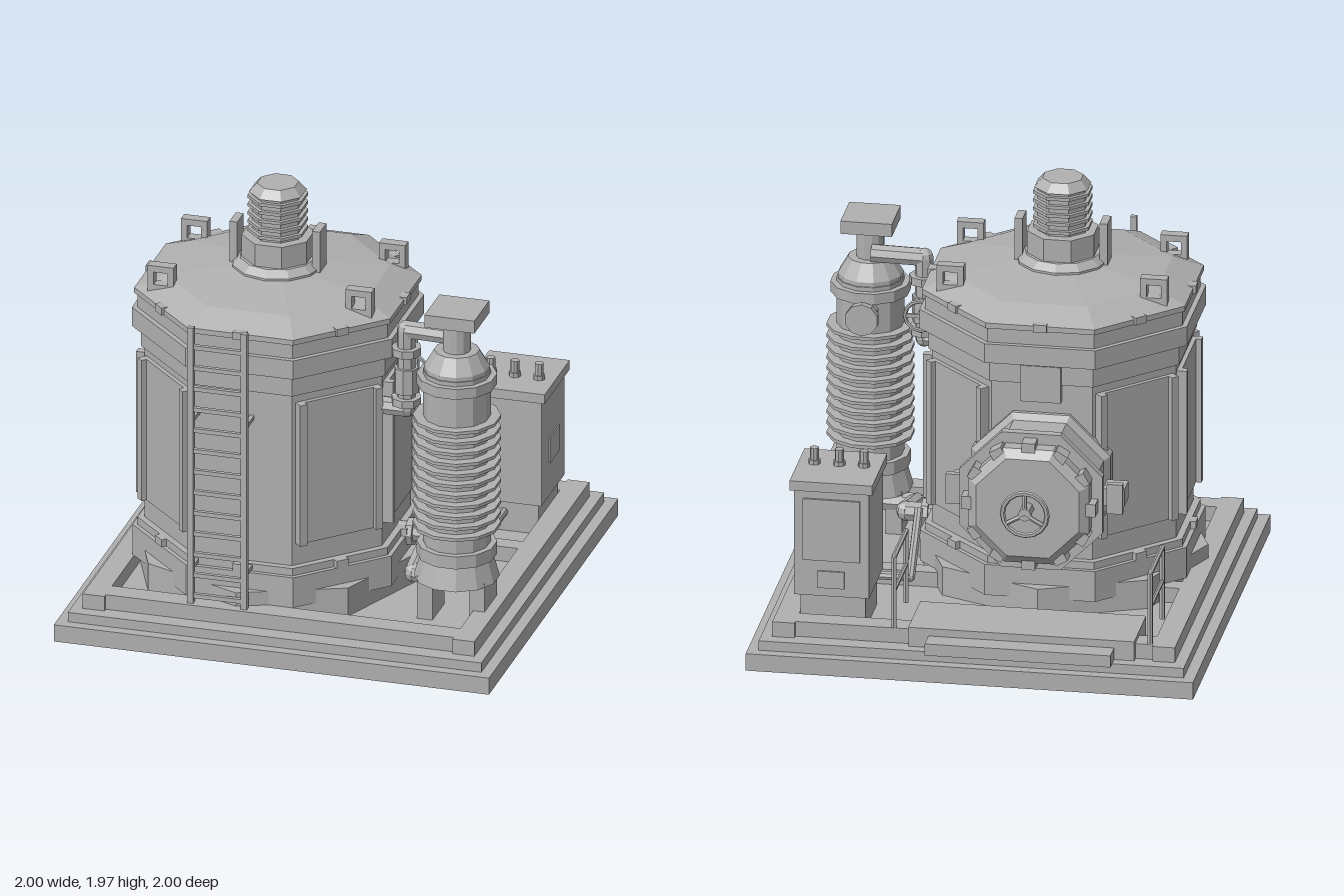
import * as THREE from 'three';

const steel = new THREE.MeshStandardMaterial({ color: 0xb0b0b0 });
steel.name = 'grey steel';

// Faceted mesh helper
function add(parent, name, geo, x = 0, y = 0, z = 0) {
  const g = geo.index ? geo.toNonIndexed() : geo;
  g.computeVertexNormals();
  const m = new THREE.Mesh(g, steel);
  m.name = name;
  m.position.set(x, y, z);
  parent.add(m);
  return m;
}

// Box given by its limits on each axis
function box(parent, name, x0, x1, y0, y1, z0, z1) {
  return add(parent, name, new THREE.BoxGeometry(x1 - x0, y1 - y0, z1 - z0),
    (x0 + x1) / 2, (y0 + y1) / 2, (z0 + z1) / 2);
}

// Turned prism from [radius, height] pairs, bottom to top
function turned(parent, name, profile, sides, start = 0, scale = 1) {
  const pts = profile.map(([r, y]) => new THREE.Vector2(r * scale, y));
  pts.unshift(new THREE.Vector2(0, profile[0][1]));
  pts.push(new THREE.Vector2(0, profile[profile.length - 1][1]));
  return add(parent, name, new THREE.LatheGeometry(pts, sides, start));
}

// Straight pipe runs with round elbows
function pipe(parent, name, points, r, sides = 8) {
  const g = new THREE.Group();
  g.name = name;
  parent.add(g);
  const p = points.map((a) => new THREE.Vector3(...a));
  for (let i = 0; i < p.length - 1; i++) {
    const d = p[i + 1].clone().sub(p[i]);
    const m = add(g, name + 'Run', new THREE.CylinderGeometry(r, r, d.length(), sides));
    m.position.copy(p[i]).addScaledVector(d, 0.5);
    m.quaternion.setFromUnitVectors(new THREE.Vector3(0, 1, 0), d.normalize());
    if (i > 0) add(g, name + 'Elbow', new THREE.SphereGeometry(r, sides, 6), p[i].x, p[i].y, p[i].z);
  }
  return g;
}

function subgroup(parent, name, x = 0, y = 0, z = 0) {
  const g = new THREE.Group();
  g.name = name;
  g.position.set(x, y, z);
  parent.add(g);
  return g;
}

function buildBase(root) {
  const b = subgroup(root, 'base');
  box(b, 'lowerSlab', -1, 1, 0, 0.08, -1, 1);
  box(b, 'upperSlab', -0.95, 0.95, 0.08, 0.125, -0.95, 0.95);
  for (const s of [-1, 1]) {
    box(b, 'sideCurb', s * 0.85 - 0.05, s * 0.85 + 0.05, 0.125, 0.195, -0.89, 0.89);
    box(b, 'endCurb', -0.8, 0.8, 0.125, 0.195, s * 0.82 - 0.05, s * 0.82 + 0.05);
  }
  box(b, 'crossBeam', -0.8, 0.8, 0.125, 0.195, -0.2, -0.12);
  // Rear platform, step and handrails
  box(b, 'platform', -0.72, 0.29, 0.125, 0.215, -0.9, -0.59);
  box(b, 'step', -0.63, 0.2, 0.125, 0.18, -0.995, -0.89);
  for (const x of [-0.785, 0.36]) {
    pipe(b, 'handrail', [[x, 0.19, -0.86], [x, 0.53, -0.86], [x, 0.53, -0.55], [x, 0.19, -0.55]], 0.012, 6);
    pipe(b, 'midRail', [[x, 0.37, -0.86], [x, 0.37, -0.55]], 0.01, 6);
  }
}

function buildTank(root) {
  const t = subgroup(root, 'tank', -0.215, 0, 0.175);
  const k = 1 / Math.cos(Math.PI / 8); // flat distance to corner radius
  turned(t, 'footPlate', [[0.65, 0.125], [0.65, 0.26]], 8);
  turned(t, 'shell', [
    [0.595, 0.195], [0.595, 0.34], [0.575, 0.34], [0.575, 0.375], [0.545, 0.375], [0.545, 1.2],
    [0.56, 1.2], [0.56, 1.3], [0.598, 1.3], [0.598, 1.39], [0.575, 1.39], [0.575, 1.46],
    [0.588, 1.46], [0.588, 1.485], [0.46, 1.54], [0.2, 1.575]], 8, Math.PI / 8, k);
  // Panels and clamps around the faces
  for (let i = 0; i < 8; i++) {
    const f = subgroup(t, 'tankFace');
    f.rotation.y = i * Math.PI / 4;
    for (const [y, z] of [[1.475, 0.58], [0.355, 0.58]]) box(f, 'rimClamp', -0.03, 0.03, y - 0.015, y + 0.02, z - 0.04, z + 0.02);
    if (i % 4 === 0) continue;
    box(f, 'facePanel', -0.19, 0.19, 0.48, 1.16, 0.53, 0.565);
    for (const s of [-1, 1]) box(f, 'panelStrip', s * 0.19 - 0.018, s * 0.19 + 0.018, 0.48, 1.16, 0.53, 0.59);
  }
  // Top bushing
  turned(t, 'bushingCollar', [[0.205, 1.56], [0.205, 1.585], [0.17, 1.615]], 12);
  turned(t, 'bushingSocket', [[0.155, 1.6], [0.155, 1.72]], 8, Math.PI / 8, 1.04);
  const rings = [[0.112, 1.72]];
  for (let i = 0; i < 5; i++) {
    const y = 1.735 + i * 0.04;
    rings.push([0.112, y], [0.13, y], [0.13, y + 0.015], [0.112, y + 0.015]);
  }
  rings.push([0.112, 1.925], [0.125, 1.925], [0.09, 1.965]);
  turned(t, 'bushing', rings, 8, Math.PI / 8, 1.03);
  for (const s of [-1, 1]) box(t, 'bushingTab', s * 0.19 - 0.018, s * 0.19 + 0.018, 1.565, 1.77, -0.05, 0.05);
  // Lifting eyes
  const eye = new THREE.Shape([[-0.06, 0], [0.06, 0], [0.06, 0.14], [-0.06, 0.14]].map((p) => new THREE.Vector2(...p)));
  eye.holes.push(new THREE.Path([[-0.032, 0.05], [-0.032, 0.11], [0.032, 0.11], [0.032, 0.05]].map((p) => new THREE.Vector2(...p))));
  for (const x of [-0.455, 0.455]) for (const z of [-0.26, 0.26]) {
    add(t, 'liftingEye', new THREE.ExtrudeGeometry(eye, { depth: 0.05, bevelEnabled: false }), x, 1.48, z - 0.025);
  }
  box(t, 'rearPlate', -0.09, 0.09, 1.12, 1.29, -0.578, -0.53);
}

function buildLadder(root) {
  const l = subgroup(root, 'ladder');
  for (const x of [-0.418, -0.172]) {
    box(l, 'ladderRail', x - 0.014, x + 0.014, 0.195, 1.525, 0.825, 0.85);
    for (const y of [0.36, 1.07]) box(l, 'ladderBracket', x - 0.01, x + 0.01, y - 0.01, y + 0.01, 0.7, 0.83);
  }
  for (let i = 0; i < 13; i++) {
    const y = 0.23 + i * 0.1;
    box(l, 'rung', -0.41, -0.18, y - 0.01, y + 0.01, 0.828, 0.847);
  }
}

function buildManway(root) {
  const m = subgroup(root, 'manway', -0.215, 0.75, 0);
  const body = subgroup(m, 'manwayBody');
  body.rotation.x = -Math.PI / 2;
  const a = Math.PI / 8, k = 1 / Math.cos(a);
  turned(body, 'neck', [[0.31, 0.33], [0.31, 0.39], [0.285, 0.42], [0.285, 0.61], [0.32, 0.61], [0.32, 0.65],
    [0.27, 0.65], [0.27, 0.71], [0.23, 0.74]], 8, a, k);
  // Cover clamps
  for (let i = 0; i < 12; i++) {
    const c = subgroup(body, 'coverClamp');
    c.rotation.y = i * Math.PI / 6;
    box(c, 'clampBlock', -0.03, 0.03, 0.65, 0.72, 0.245, 0.3);
  }
  // Handwheel
  add(m, 'handwheel', new THREE.TorusGeometry(0.1, 0.012, 6, 16), 0, 0, -0.81);
  pipe(m, 'wheelStem', [[0, 0, -0.7], [0, 0, -0.82]], 0.03);
  for (let i = 0; i < 3; i++) {
    const t = Math.PI / 2 + i * 2 * Math.PI / 3;
    pipe(m, 'wheelSpoke', [[0, 0, -0.81], [Math.cos(t) * 0.1, Math.sin(t) * 0.1, -0.81]], 0.011, 6);
  }
  for (const s of [-1, 1]) {
    box(m, 'hingeLug', s * 0.36 - 0.035, s * 0.36 + 0.035, -0.07, 0.07, -0.57, -0.54);
    box(m, 'hingeArm', s * 0.34 - 0.06, s * 0.34 + 0.035, -0.04, 0.04, -0.55, -0.44);
  }
}

function buildInsulator(root) {
  const g = subgroup(root, 'insulator', 0.697, 0, 0.477);
  const p = [[0.19, 0.315], [0.16, 0.42], [0.178, 0.42], [0.178, 0.48], [0.15, 0.48]];
  for (let i = 0; i < 11; i++) {
    const y = 0.56 + i * 0.0515;
    p.push([0.15, y], [0.195, y], [0.195, y + 0.015], [0.15, y + 0.015]);
  }
  p.push([0.15, 1.24], [0.178, 1.24], [0.178, 1.29], [0.15, 1.29], [0.15, 1.31], [0.145, 1.31],
    [0.145, 1.33], [0.1, 1.405], [0.062, 1.405], [0.062, 1.55]);
  turned(g, 'insulatorColumn', p, 12, Math.PI / 12);
  box(g, 'capPlate', -0.115, 0.115, 1.545, 1.605, -0.115, 0.115);
  for (const s of [-1, 1]) box(g, 'foot', s * 0.12 - 0.036, s * 0.12 + 0.036, 0.125, 0.33, -0.095, 0.095);
  // Rear port
  pipe(g, 'port', [[0, 1.19, -0.1], [0, 1.19, -0.22]], 0.06, 10);
  pipe(g, 'portFlange', [[0, 1.19, -0.205], [0, 1.19, -0.24]], 0.075, 10);
}

function buildPipes(root) {
  const g = subgroup(root, 'pipework');
  pipe(g, 'upperPipe', [[0.68, 1.44, 0.42], [0.445, 1.44, 0.41], [0.445, 1.06, 0.41], [0.28, 1.06, 0.41]], 0.042);
  for (const y of [1.34, 1.1]) pipe(g, 'pipeFlange', [[0.445, y - 0.018, 0.41], [0.445, y + 0.018, 0.41]], 0.068);
  pipe(g, 'valveBody', [[0.445, 1.14, 0.41], [0.445, 1.26, 0.41]], 0.055);
  add(g, 'valveWheel', new THREE.TorusGeometry(0.07, 0.01, 6, 12), 0.445, 1.2, 0.31);
  box(g, 'valveSpoke', 0.38, 0.51, 1.192, 1.208, 0.303, 0.317);
  pipe(g, 'valveStem', [[0.445, 1.2, 0.4], [0.445, 1.2, 0.3]], 0.014, 6);
  pipe(g, 'lowerPipe', [[0.3, 0.34, 0.14], [0.48, 0.34, 0.14], [0.48, 0.27, 0.41], [0.72, 0.27, 0.42]], 0.045);
  pipe(g, 'lowerPipeFlange', [[0.375, 0.34, 0.14], [0.405, 0.34, 0.14]], 0.065);
  pipe(g, 'cableConduit', [[0.37, 0.48, -0.16], [0.38, 0.215, -0.32], [0.64, 0.215, -0.32], [0.64, 0.215, -0.45]], 0.02);
}

function buildCabinet(root) {
  const c = subgroup(root, 'cabinet');
  box(c, 'plinth', 0.51, 0.8, 0.125, 0.28, -0.74, -0.44);
  box(c, 'cabinetBody', 0.49, 0.825, 0.28, 0.785, -0.76, -0.4);
  box(c, 'cabinetLid', 0.472, 0.842, 0.78, 0.825, -0.78, -0.393);
  box(c, 'sidePlate', 0.82, 0.831, 0.44, 0.56, -0.67, -0.52);
  box(c, 'rearDoor', 0.53, 0.785, 0.45, 0.74, -0.77, -0.755);
  box(c, 'rearVent', 0.6, 0.72, 0.32, 0.4, -0.768, -0.755);
  for (const x of [0.547, 0.658, 0.769]) {
    pipe(c, 'terminal', [[x, 0.82, -0.555], [x, 0.9, -0.555]], 0.02);
    pipe(c, 'terminalBase', [[x, 0.82, -0.555], [x, 0.845, -0.555]], 0.027);
  }
}

export function createModel() {
  const root = new THREE.Group();
  root.name = 'transformerTank';
  for (const build of [buildBase, buildTank, buildLadder, buildManway, buildInsulator, buildPipes, buildCabinet]) build(root);
  return root;
}
